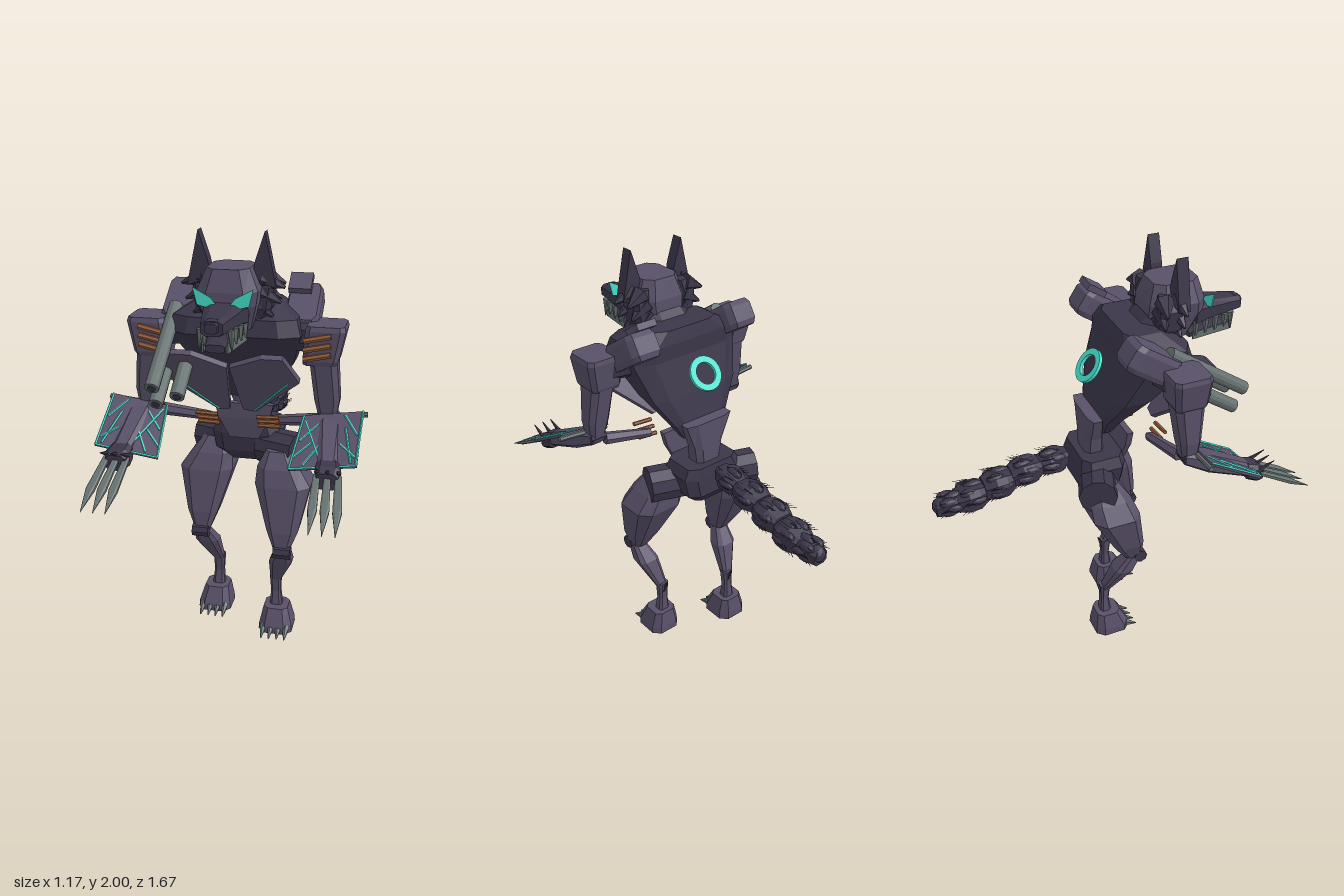
import * as THREE from 'three';
import { ConvexGeometry } from 'three/addons/geometries/ConvexGeometry.js';

const mat = (name, color) => { const m = new THREE.MeshStandardMaterial({ color }); m.name = name; return m; };
const V = (x, y, z) => new THREE.Vector3(x, y, z);

export function createModel() {
  const root = new THREE.Group();
  const armor = mat('armor purple', 0x585068), dark = mat('dark purple', 0x3b3649);
  const steel = mat('steel grey', 0x64706f), glow = mat('teal glow', 0x45e0cc), copper = mat('copper', 0x965c38);

  // Adds a faceted mesh
  const add = (name, geo, m, parent = root) => {
    const g = geo.index ? geo.toNonIndexed() : geo;
    g.computeVertexNormals();
    const mesh = new THREE.Mesh(g, m);
    mesh.name = name;
    parent.add(mesh);
    return mesh;
  };

  // Chamfered cross-sections [x, y, z, halfWidth, halfDepth], listed upward along y or forward along z
  const loft = (secs, axis = 'y', c = 0.6) => {
    const ring = [[1, -c], [1, c], [c, 1], [-c, 1], [-1, c], [-1, -c], [-c, -1], [c, -1]];
    const pos = [], idx = [], n = 8;
    for (const [x, y, z, a, b] of secs) for (const [u, v] of ring)
      pos.push(x + u * a, axis === 'y' ? y : y + v * b, axis === 'y' ? z - v * b : z);
    for (let s = 0; s < secs.length - 1; s++) for (let i = 0; i < n; i++) {
      const p = s * n + i, q = s * n + (i + 1) % n;
      idx.push(p, q, q + n, p, q + n, p + n);
    }
    const top = (secs.length - 1) * n;
    for (let i = 1; i < n - 1; i++) idx.push(0, i + 1, i, top, top + i, top + i + 1);
    const g = new THREE.BufferGeometry();
    g.setAttribute('position', new THREE.Float32BufferAttribute(pos, 3));
    g.setIndex(idx);
    return g;
  };

  // Straight rod or cone between two points
  const rod = (a, b, r0, r1 = r0, n = 6) => {
    const d = b.clone().sub(a);
    const g = new THREE.CylinderGeometry(r1, r0, d.length(), n);
    g.applyQuaternion(new THREE.Quaternion().setFromUnitVectors(V(0, 1, 0), d.normalize()));
    const m = a.clone().add(b).multiplyScalar(0.5);
    return g.translate(m.x, m.y, m.z);
  };

  // Flat convex plate given by its corners and a thickness vector
  const plate = (pts, off) => new ConvexGeometry([...pts, ...pts.map(p => p.clone().add(off))]);

  // Torso, neck, spine and belly
  add('torso', loft([[0, 1.18, -0.015, 0.1, 0.025], [0, 1.26, 0.0, 0.15, 0.05], [0, 1.39, 0.07, 0.235, 0.085],
    [0, 1.56, 0.19, 0.29, 0.155], [0, 1.63, 0.18, 0.27, 0.145], [0, 1.69, 0.14, 0.17, 0.09]], 'y', 0.7), dark);
  add('neck', loft([[0, 1.58, 0.16, 0.13, 0.11], [0, 1.64, 0.21, 0.12, 0.1], [0, 1.72, 0.27, 0.1, 0.08]]), dark);
  add('spine', loft([[0, 1.0, -0.055, 0.06, 0.05], [0, 1.14, -0.06, 0.08, 0.045], [0, 1.27, -0.07, 0.13, 0.035]]), armor);
  add('bellyPlate', plate([V(-0.14, 1.175, 0.1), V(0.14, 1.175, 0.1), V(0.12, 1.1, 0.1), V(0.07, 1.0, 0.09),
    V(-0.07, 1.0, 0.09), V(-0.12, 1.1, 0.1)], V(0, 0, -0.03)), armor);

  // Pelvis, with the hips turned by the stride
  add('pelvis', loft([[0, 0.865, -0.05, 0.09, 0.07], [0, 0.92, -0.05, 0.15, 0.11], [0, 1.01, -0.04, 0.165, 0.11], [0, 1.06, -0.04, 0.14, 0.1]], 'y', 0.7), dark);
  const hips = new THREE.Group();
  hips.name = 'hips';
  hips.position.set(0, 0, -0.03);
  hips.rotation.y = -0.35;
  root.add(hips);

  // Back ring
  const hoop = new THREE.Shape().absarc(0, 0, 0.081, 0, Math.PI * 2);
  hoop.holes.push(new THREE.Path().absarc(0, 0, 0.051, 0, Math.PI * 2, true));
  const ring = add('backRing', new THREE.ExtrudeGeometry(hoop, { depth: 0.016, bevelEnabled: false, curveSegments: 12 }).translate(0, 0, -0.008), glow);
  ring.position.set(0, 1.493, -0.062);
  ring.rotation.x = 0.65;

  // Head
  add('skull', loft([[0, 1.6, 0.31, 0.09, 0.09], [0, 1.71, 0.325, 0.12, 0.135], [0, 1.77, 0.325, 0.128, 0.132],
    [0, 1.86, 0.325, 0.09, 0.105]]), armor);
  add('snout', loft([[0, 1.68, 0.42, 0.095, 0.055], [0, 1.683, 0.48, 0.082, 0.045], [0, 1.677, 0.64, 0.05, 0.034],
    [0, 1.677, 0.67, 0.045, 0.03]], 'z'), dark);
  add('nose', loft([[0, 1.685, 0.645, 0.034, 0.027], [0, 1.68, 0.682, 0.026, 0.02]], 'z'), dark);
  add('jaw', loft([[0, 1.583, 0.4, 0.07, 0.016], [0, 1.583, 0.5, 0.06, 0.016], [0, 1.583, 0.62, 0.04, 0.016]], 'z'), dark);

  for (const s of [1, -1]) {
    const side = s > 0 ? 'left' : 'right';
    const P = (x, y, z) => V(s * x, y, z);
    const part = (name, secs, m, axis, c) => add(side + name, loft(secs.map(([x, ...r]) => [s * x, ...r]), axis, c), m);
    const stick = (name, a, b, m, r0, r1, n) => add(side + name, rod(P(...a), P(...b), r0, r1, n), m);
    const slab = (name, pts, off, m) => add(side + name, plate(pts.map(p => P(...p)), off), m);

    // Ears, eyes, teeth and cheek fur
    slab('Ear', [[0.085, 1.8, 0.332], [0.19, 1.77, 0.332], [0.175, 1.84, 0.332], [0.14, 2, 0.332], [0.1, 1.88, 0.332]], V(0, 0, -0.055), dark);
    slab('Eye', [[0.03, 1.728, 0.484], [0.06, 1.712, 0.484], [0.108, 1.725, 0.484], [0.125, 1.795, 0.484], [0.05, 1.755, 0.484]], V(0, 0, -0.006), glow);
    for (let i = 0; i < 4; i++) {
      const z = 0.425 + i * 0.053, x = 0.078 - i * 0.008;
      stick('Tooth', [x, 1.65, z], [x, 1.585, z], steel, 0.017, 0.009, 6);
    }
    stick('Fang', [0.062, 1.66, 0.605], [0.067, 1.575, 0.61], steel, 0.017, 0.003, 6);
    slab('JawGuard', [[0.075, 1.566, 0.41], [0.075, 1.6, 0.41], [0.046, 1.6, 0.62], [0.046, 1.566, 0.62]], V(s * 0.008, 0, 0), steel);
    part('CheekMane', [[0.09, 1.61, 0.265, 0.035, 0.045], [0.115, 1.68, 0.265, 0.05, 0.06], [0.13, 1.77, 0.265, 0.045, 0.06], [0.11, 1.825, 0.265, 0.03, 0.045]], dark);
    [[0.222, 1.77], [0.205, 1.705], [0.172, 1.645], [0.125, 1.59]].forEach(([x, y], i) => {
      for (let k = 0; k < 2; k++)
        stick('CheekFur', [0.125 - i * 0.018, 1.805 - i * 0.05, 0.297 - k * 0.06], [x - k * 0.012, y, 0.3 - k * 0.085], dark, 0.046, 0.006, 6);
    });

    // Chest panels
    const zc = y => 0.25 + (y - 1.21) * 0.69;
    const chest = [[0.15, 1.5], [0.24, 1.5], [0.3, 1.38], [0.085, 1.19], [0.03, 1.2], [0.005, 1.44]];
    slab('ChestPanel', chest.map(([x, y]) => [x, y, zc(y)]), V(0, 0.015, -0.022), armor);
    stick('ChestLine', [0.25, 1.37, zc(1.37)], [0.08, 1.195, zc(1.195)], glow, 0.005);

    // Shoulder block
    const block = part('ShoulderBlock', [[0, -0.06, 0, 0.065, 0.11], [0, -0.035, 0, 0.075, 0.125], [0, 0.04, 0, 0.075, 0.125], [0, 0.065, 0, 0.065, 0.11]], armor, 'y', 0.75);
    block.position.set(s * 0.275, 1.625, 0.1);
    block.rotation.x = 0.58;

    // Arm
    part('Pauldron', [[0.37, 1.44, 0.235, 0.07, 0.07], [0.375, 1.46, 0.232, 0.077, 0.078], [0.393, 1.59, 0.222, 0.086, 0.09], [0.393, 1.61, 0.22, 0.08, 0.085]], armor, 'y', 0.75);
    stick('ShoulderJoint', [0.2, 1.55, 0.17], [0.36, 1.54, 0.21], dark, 0.08, 0.07, 8);
    for (let i = 0; i < 3; i++) {
      stick('PauldronRod', [0.305, 1.55 - i * 0.04, 0.318], [0.42, 1.575 - i * 0.04, 0.316], copper, 0.013);
      stick('WaistRod', [0.09, 1.165 - i * 0.028, 0.235 - i * 0.02], [0.19, 1.17 - i * 0.028, 0.24 - i * 0.02], copper, 0.01);
    }
    stick('WaistStrut', [0.14, 1.135, 0.18], [0.37, 1.17, 0.22], armor, 0.022, 0.03, 6);
    part('UpperArm', [[0.41, 1.18, 0.24, 0.035, 0.035], [0.405, 1.28, 0.235, 0.055, 0.05], [0.385, 1.46, 0.23, 0.06, 0.072]], armor);
    stick('Elbow', [0.37, 1.195, 0.24], [0.45, 1.195, 0.24], dark, 0.04, 0.04, 8);
    part('Forearm', [[0.42, 1.195, 0.21, 0.035, 0.03], [0.43, 1.155, 0.32, 0.055, 0.048], [0.45, 1.06, 0.54, 0.04, 0.036]], armor, 'z');
    part('Hand', [[0.45, 1.065, 0.515, 0.05, 0.042], [0.455, 1.05, 0.56, 0.055, 0.045], [0.455, 1.04, 0.59, 0.045, 0.035]], dark, 'z');
    for (let k = -1; k <= 1; k++) {
      const x = 0.455 + k * 0.045;
      part('Claw', [[x, 1.055, 0.57, 0.014, 0.01], [x + 0.012 + k * 0.005, 0.975, 0.73, 0.019, 0.012], [x + 0.016 + k * 0.008, 0.92, 0.835, 0.001, 0.001]], steel, 'z');
      stick('KnuckleSpike', [x, 1.07, 0.56], [x, 1.105, 0.64], dark, 0.012, 0.002, 5);
    }

    // Forearm shield with glowing seams
    const A = V(0.565, 1.23, 0.265), B = V(0.31, 1.195, 0.275), C = V(0.285, 1.045, 0.525), D = V(0.57, 1.085, 0.525);
    slab('Shield', [A, B, C, D].map(p => p.toArray()), V(0, 0.012, 0.006), armor);
    const on = (u, v) => A.clone().lerp(B, u).lerp(D.clone().lerp(C, u), v).add(V(0, 0.013, 0.007)).toArray();
    for (const [a, b, c, d] of [[0, 0, 0.02, 1], [0.02, 1, 1, 1], [1, 1, 1, 0], [0.95, 0.1, 0.55, 0.9], [0.8, 0.95, 0.5, 0.4],
      [0.05, 0.45, 0.3, 0.05], [0.05, 0.85, 0.3, 0.6], [0.95, 0.5, 0.7, 0.2], [0.1, 0.95, 0.25, 0.3], [0.98, 0.8, 0.75, 0.55]])
      stick('ShieldSeam', on(a, b), on(c, d), glow, 0.005, 0.005, 4);
    stick('ShieldRod', [0.33, 1.2, 0.265], [0.585, 1.225, 0.262], steel, 0.012);

    // Leg, the left one striding forward
    const dz = s > 0 ? 0 : -0.14;
    const leg = (name, secs, m) => part(name, secs.map(([x, y, z, a, b]) => [x, y, z + dz, a, b]), m);
    add(side + 'Hip', rod(V(s * 0.08, 0.94, 0), V(s * 0.265, 0.94, 0), 0.09, 0.09, 10), dark, hips);
    leg('Thigh', [[0.21, 0.5, 0.215, 0.035, 0.045], [0.21, 0.6, 0.18, 0.075, 0.075], [0.2, 0.81, 0.104, 0.13, 0.115],
      [0.175, 0.89, 0.088, 0.1, 0.1], [0.165, 0.96, 0.08, 0.055, 0.06]], armor);
    stick('Knee', [0.175, 0.5, 0.245 + dz], [0.255, 0.5, 0.245 + dz], dark, 0.034, 0.034, 8);
    leg('Calf', [[0.16, 0.26, 0.085, 0.025, 0.022], [0.2, 0.42, 0.17, 0.055, 0.05], [0.215, 0.5, 0.22, 0.035, 0.035]], armor);
    leg('Ankle', [[0.165, 0.1, 0.088, 0.032, 0.03], [0.162, 0.2, 0.085, 0.024, 0.02], [0.16, 0.29, 0.088, 0.028, 0.026]], armor);
    stick('AnkleSpur', [0.16, 0.24, 0.075 + dz], [0.16, 0.31, 0.045 + dz], dark, 0.015, 0.002, 5);
    leg('Foot', [[0.172, 0.01, 0.11, 0.083, 0.09], [0.172, 0.045, 0.11, 0.08, 0.088], [0.168, 0.125, 0.095, 0.06, 0.06]], armor);
    for (let k = 0; k < 4; k++) {
      const x = 0.115 + k * 0.038;
      stick('ToeClaw', [x, 0.04, 0.175 + dz], [x, 0.006, 0.24 + dz], steel, 0.02, 0.003, 6);
    }
  }

  // Box on the left shoulder
  const pack = add('shoulderBox', new THREE.BoxGeometry(0.1, 0.03, 0.1), armor);
  pack.position.set(0.252, 1.742, 0.065);
  pack.rotation.x = 0.58;

  // Three gun barrels on the right shoulder
  for (const [x, y0, z0, y1, z1] of [[-0.283, 1.645, 0.19, 1.385, 0.575], [-0.283, 1.445, 0.315, 1.3, 0.53], [-0.185, 1.456, 0.379, 1.345, 0.545]]) {
    const a = V(x, y0, z0), b = V(x, y1, z1);
    add('barrel', rod(a, b, 0.032, 0.032, 12), steel);
    add('barrelBore', rod(b, b.clone().add(V(0, -0.002, 0.003)), 0.018, 0.018, 12), dark);
  }

  // Tail of furry segments [y, z, halfWidth, halfHeight]
  const tail = new THREE.Group();
  tail.name = 'tail';
  root.add(tail);
  const segments = [[1.027, -0.25, 0.066, 0.056], [1.008, -0.382, 0.08, 0.06], [0.975, -0.515, 0.086, 0.064], [0.94, -0.648, 0.084, 0.066], [0.925, -0.745, 0.058, 0.05]];
  segments.forEach(([y, z, a, b], i) => {
    add('tailSegment', loft([[0, y - 0.014, z - 0.08, a * 0.65, b * 0.65], [0, y - 0.004, z - 0.025, a * 0.9, b * 0.9],
      [0, y, z + 0.025, a * 0.88, b * 0.88], [0, y + 0.008, z + 0.068, a * 0.6, b * 0.6]], 'z'), dark, tail);
    for (let k = 0; k < 8; k++) {
      const t = k * Math.PI / 4 + i * 0.2, cx = Math.cos(t) * a, cy = Math.sin(t) * b;
      const at = (r, dz) => V(cx * r, y + cy * r, z + dz);
      const tuft = add('tailTuft', new THREE.IcosahedronGeometry(0.024, 1).scale(1, 0.9, 1.9), dark, tail);
      tuft.position.copy(at(0.74, k % 2 ? 0.01 : -0.02));
      for (let h = 0; h < 3; h++)
        add('tailHair', rod(at(0.85, 0.03 - h * 0.03), at(1.15, -0.03 - h * 0.02), 0.003, 0.001, 3), dark, tail);
    }
  });
  const tip = add('tailTip', new THREE.IcosahedronGeometry(0.043, 1), dark, tail);
  tip.position.set(0, 0.92, -0.797);

  return root;
}
